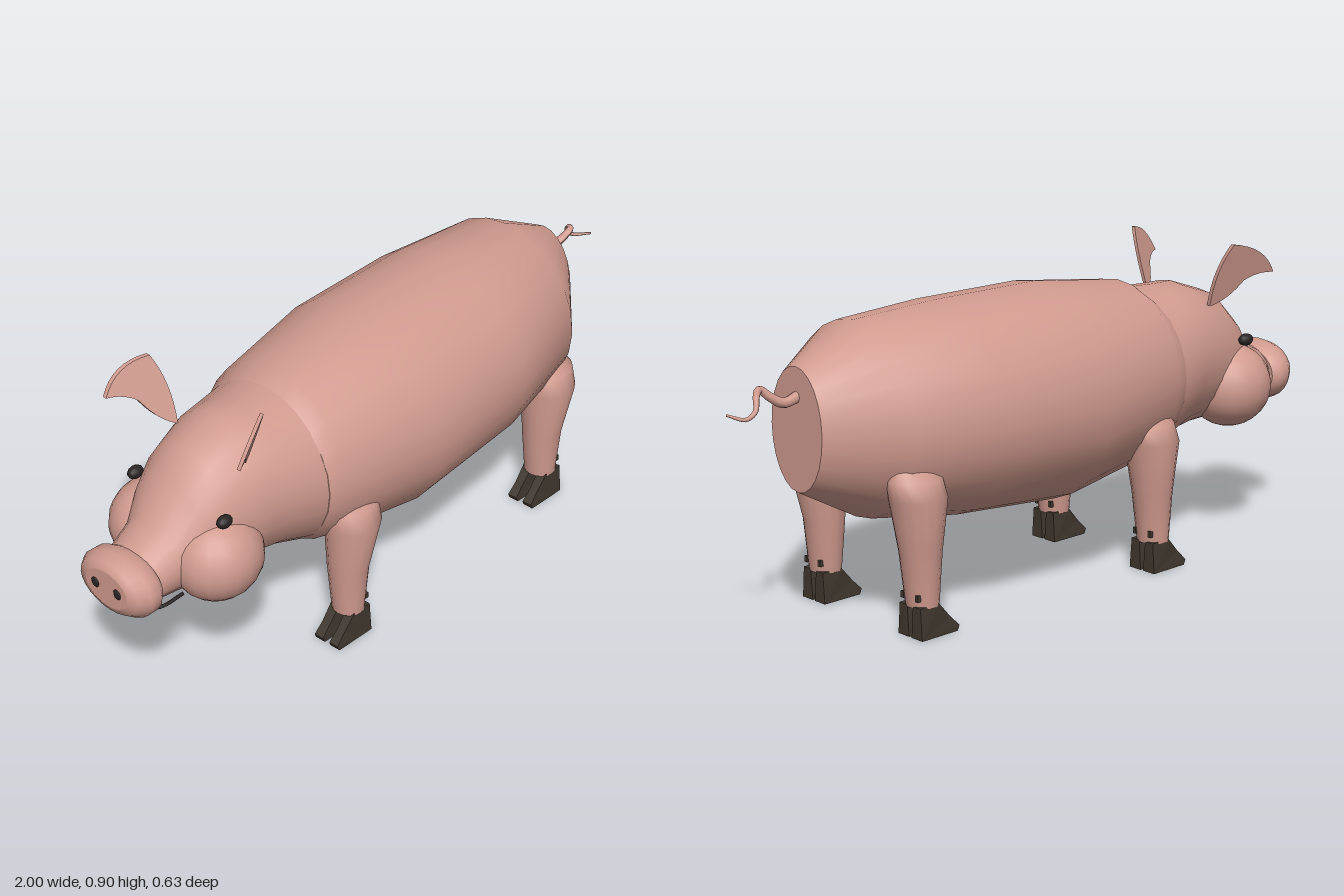
import * as THREE from 'three';

const skin = new THREE.MeshStandardMaterial({ color: 0xd19b8f });
skin.name = 'pink skin';
const dark = new THREE.MeshStandardMaterial({ color: 0x40382f });
dark.name = 'dark hoof';
const black = new THREE.MeshStandardMaterial({ color: 0x2a2424 });
black.name = 'black eye';

// Closed loft through elliptical rings [x, y, z, r1, r2], listed in rising order along the axis.
// Axis x: r1 is along y, r2 along z. Axis y: r1 is along z, r2 along x.
function loft(axis, rings, seg = 24) {
  const pos = [], idx = [];
  const addRing = ([x, y, z, r1, r2]) => {
    const start = pos.length / 3;
    for (let j = 0; j < seg; j++) {
      const a = (j / seg) * Math.PI * 2, c = Math.cos(a) * r1, s = Math.sin(a) * r2;
      if (axis === 'x') pos.push(x, y + c, z + s);
      else pos.push(x + s, y, z + c);
    }
    return start;
  };
  const starts = rings.map(addRing);
  for (let i = 0; i < rings.length - 1; i++) {
    for (let j = 0; j < seg; j++) {
      const k = (j + 1) % seg, p = starts[i], q = starts[i + 1];
      idx.push(p + j, p + k, q + j, p + k, q + k, q + j);
    }
  }
  // flat caps with their own corners, so the rims stay crisp
  for (const [ring, end] of [[rings[0], false], [rings[rings.length - 1], true]]) {
    const s = addRing(ring), c = pos.length / 3;
    pos.push(ring[0], ring[1], ring[2]);
    for (let j = 0; j < seg; j++) {
      const k = (j + 1) % seg;
      if (end) idx.push(c, s + j, s + k);
      else idx.push(c, s + k, s + j);
    }
  }
  const g = new THREE.BufferGeometry();
  g.setAttribute('position', new THREE.Float32BufferAttribute(pos, 3));
  g.setIndex(idx);
  g.computeVertexNormals();
  return g;
}

// Ring from top and bottom heights, for the body and head
const span = (x, bottom, top, rz) => [x, (top + bottom) / 2, 0, (top - bottom) / 2, rz];

export function createModel() {
  const pig = new THREE.Group();
  pig.name = 'pig';
  const add = (name, geometry, material, parent = pig) => {
    const m = new THREE.Mesh(geometry, material);
    m.name = name;
    parent.add(m);
    return m;
  };
  const ball = (name, material, x, y, z, rx, ry, rz, seg = 20) => {
    const m = add(name, new THREE.SphereGeometry(1, seg, Math.ceil(seg * 0.7)), material);
    m.position.set(x, y, z);
    m.scale.set(rx, ry, rz);
  };

  // Barrel body with a flat rump
  add('body', loft('x', [
    span(-0.40, 0.30, 0.77, 0.235), span(-0.35, 0.27, 0.803, 0.257),
    span(-0.03, 0.22, 0.84, 0.317), span(0.33, 0.245, 0.837, 0.312),
    span(0.61, 0.288, 0.822, 0.26), span(0.80, 0.39, 0.727, 0.107),
  ]), skin);

  // Neck and head
  add('head', loft('x', [
    span(-0.91, 0.37, 0.525, 0.095), span(-0.82, 0.355, 0.575, 0.112),
    span(-0.76, 0.345, 0.665, 0.14), span(-0.69, 0.345, 0.73, 0.165),
    span(-0.57, 0.342, 0.77, 0.195), span(-0.50, 0.333, 0.77, 0.21),
    span(-0.37, 0.285, 0.775, 0.24),
  ]), skin);

  // Snout
  add('snout', loft('x', [
    [-0.995, 0.455, 0, 0.055, 0.075], [-0.985, 0.455, 0, 0.075, 0.105],
    [-0.955, 0.45, 0, 0.092, 0.127], [-0.92, 0.448, 0, 0.09, 0.127],
    [-0.90, 0.448, 0, 0.078, 0.11],
  ]), skin);

  // Mouth line under the snout
  const lip = new THREE.CatmullRomCurve3([
    [-0.83, 0.40, -0.11], [-0.90, 0.385, -0.09], [-0.945, 0.375, 0],
    [-0.90, 0.385, 0.09], [-0.83, 0.40, 0.11],
  ].map(p => new THREE.Vector3(...p)));
  add('mouth', new THREE.TubeGeometry(lip, 20, 0.005, 6), black);

  // Ear outline, bent into its slanted plane by a rule
  const earShape = new THREE.Shape();
  earShape.moveTo(-0.605, 0.71);
  earShape.quadraticCurveTo(-0.645, 0.73, -0.67, 0.785);
  earShape.quadraticCurveTo(-0.70, 0.812, -0.742, 0.808);
  earShape.quadraticCurveTo(-0.70, 0.89, -0.615, 0.897);
  earShape.quadraticCurveTo(-0.585, 0.82, -0.60, 0.71);

  for (const side of [1, -1]) {
    const label = side > 0 ? 'left' : 'right'; 
    const ear = new THREE.ExtrudeGeometry(earShape, { depth: 0.012, bevelEnabled: false, curveSegments: 8 });
    const p = ear.attributes.position;
    for (let i = 0; i < p.count; i++) {
      const lean = 0.125 + 0.55 * (-0.6 - p.getX(i)) + 0.37 * (p.getY(i) - 0.71);
      p.setZ(i, side * lean + p.getZ(i) - 0.006);
    }
    ear.computeVertexNormals();
    add(label + 'Ear', ear, skin);

    ball(label + 'Cheek', skin, -0.705, 0.457, side * 0.112, 0.13, 0.123, 0.123);
    ball(label + 'Eye', black, -0.722, 0.597, side * 0.162, 0.025, 0.018, 0.018, 12);
    ball(label + 'Nostril', black, -0.994, 0.458, side * 0.04, 0.006, 0.016, 0.014, 10);
  }

  // Cloven hoof toe, profile in x and y with the origin at the ankle
  const toe = new THREE.Shape([
    [0.042, 0], [0.042, 0.088], [-0.022, 0.09], [-0.062, 0.045], [-0.092, 0.015], [-0.085, 0],
  ].map(([x, y]) => new THREE.Vector2(x, y)));
  const toeGeometry = new THREE.ExtrudeGeometry(toe, { depth: 0.044, bevelEnabled: false });
  toeGeometry.translate(0, 0, -0.022);
  const tp = toeGeometry.attributes.position;
  for (let i = 0; i < tp.count; i++) {
    const narrow = 1 - 3.5 * tp.getY(i) - (tp.getX(i) < -0.05 ? 0.25 : 0);
    tp.setZ(i, tp.getZ(i) * narrow);
  }
  toeGeometry.computeVertexNormals();

  // Four legs, each with two toes and two dew claws
  for (const [name, ankle] of [['front', -0.3], ['rear', 0.557]]) {
    for (const side of [1, -1]) {
      const leg = new THREE.Group();
      leg.name = name + (side > 0 ? 'Left' : 'Right') + 'Leg';
      pig.add(leg);
      const ring = (y, dx, rx, z, rz) => [ankle + dx, y, side * z, rz, rx];
      add('limb', loft('y', [
        ring(0.083, 0, 0.044, 0.207, 0.047), ring(0.23, 0.003, 0.057, 0.205, 0.06),
        ring(0.38, 0.015, 0.08, 0.212, 0.078), ring(0.43, 0.02, 0.083, 0.205, 0.062),
        ring(0.47, 0.02, 0.06, 0.19, 0.04),
      ], 16), skin, leg);
      for (const z of [0.18, 0.234]) {
        add('toe', toeGeometry, dark, leg).position.set(ankle, 0, side * z);
        add('dewClaw', new THREE.BoxGeometry(0.014, 0.018, 0.011), dark, leg)
          .position.set(ankle + 0.038, 0.113, side * (z < 0.2 ? 0.178 : 0.236));
      }
    }
  }

  // Curly tail, thinning to the tip
  const tailCurve = new THREE.CatmullRomCurve3([
    [0.79, 0.648, 0], [0.84, 0.637, 0], [0.872, 0.655, 0.012], [0.898, 0.677, 0.022],
    [0.925, 0.668, 0], [0.945, 0.635, -0.022], [0.968, 0.617, -0.015], [0.998, 0.625, 0.03],
  ].map(p => new THREE.Vector3(...p)));
  const steps = 40, sides = 8;
  const tail = new THREE.TubeGeometry(tailCurve, steps, 0.016, sides);
  const q = tail.attributes.position, v = new THREE.Vector3();
  for (let i = 0; i < q.count; i++) {
    const t = Math.floor(i / (sides + 1)) / steps;
    const c = tailCurve.getPointAt(t);
    v.fromBufferAttribute(q, i).sub(c).multiplyScalar(1 - 0.8 * t).add(c);
    q.setXYZ(i, v.x, v.y, v.z);
  }
  tail.computeVertexNormals();
  add('tail', tail, skin);

  return pig;
}
